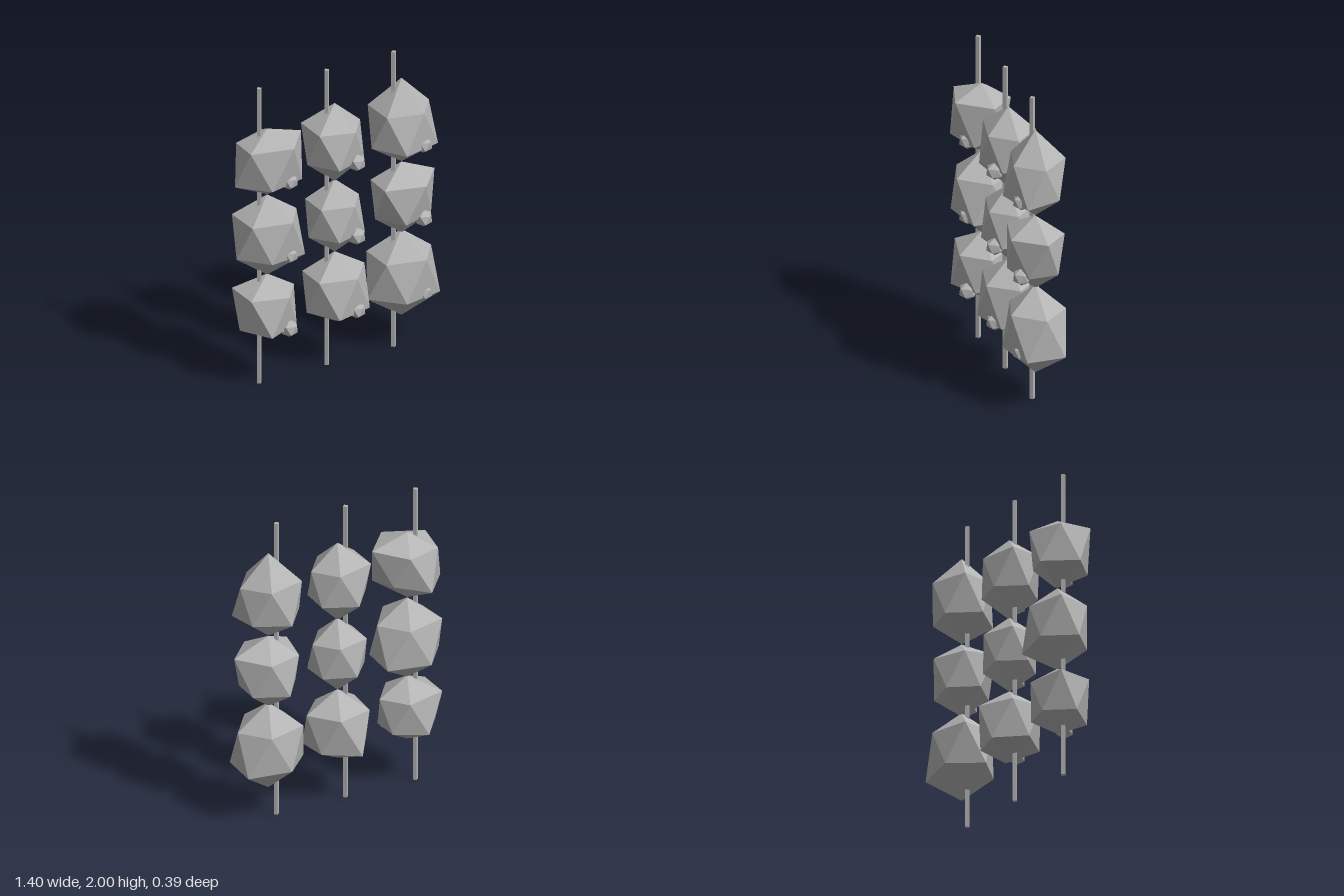
import * as THREE from 'three';

const stone = new THREE.MeshStandardMaterial({ color: 0xb4b4b4, flatShading: true });
stone.name = 'pale grey stone';

// Icosahedral stone with poles on y; radii run top, upper ring, lower ring, bottom
function stoneGeometry(radii, sy, sz) {
  const points = radii.map((r, i) => {
    if (i === 0 || i === 11) return [0, (i ? -r : r) * sy, 0];
    const upper = i < 6;
    const a = THREE.MathUtils.degToRad(72 * ((i - 1) % 5) + (upper ? 0 : 36));
    const ring = r * 0.894;
    return [ring * Math.cos(a), r * (upper ? 0.447 : -0.447) * sy, ring * Math.sin(a) * sz];
  });
  const positions = [];
  const face = (...ids) => ids.forEach((id) => positions.push(...points[id]));
  for (let i = 0; i < 5; i++) {
    const j = (i + 1) % 5;
    face(0, 1 + j, 1 + i);
    face(1 + i, 1 + j, 6 + i);
    face(6 + i, 1 + j, 6 + j);
    face(11, 6 + i, 6 + j);
  }
  const geometry = new THREE.BufferGeometry();
  geometry.setAttribute('position', new THREE.Float32BufferAttribute(positions, 3));
  geometry.computeVertexNormals();
  return geometry;
}

// Irregular radii in hundredths, each row from the bottom of its strand to the top
const strands = [
  { x: -0.475, stones: [
    [19.8, 21, 22.5, 24, 25, 22, 21, 24, 21.5, 23, 20, 18],
    [23, 23, 25.5, 22.5, 25, 23, 27, 24, 24, 25.5, 27, 24.4],
    [18.4, 26.7, 27, 25, 22, 23, 25, 24.5, 25.2, 26, 18.5, 20.3]] },
  { x: 0, stones: [
    [22, 23.5, 23, 23.5, 23, 25, 25, 24.5, 22, 26.5, 22, 19],
    [21.2, 19, 20, 20.5, 21, 21, 21.5, 21.5, 20.6, 21, 20, 21.7],
    [22.6, 20, 21, 23, 24, 21.5, 21, 23, 21.5, 23, 21, 23.5]] },
  { x: 0.47, stones: [
    [24.4, 23.3, 25, 23, 25, 24, 27.5, 26, 26.8, 25, 27.5, 26.4],
    [20.7, 26, 25, 25.5, 22, 23, 21, 22, 20.7, 23, 21, 21.2],
    [26.7, 21.5, 22.5, 22, 24, 23.7, 26, 25.5, 23.5, 25, 22, 22.6]] },
];

export function createModel() {
  const model = new THREE.Group();
  model.name = 'stoneStrands';
  const add = (parent, name, geometry, x, y, z) => {
    const mesh = new THREE.Mesh(geometry, stone);
    mesh.name = name;
    mesh.position.set(x, y, z);
    parent.add(mesh);
  };
  const rodGeometry = new THREE.CylinderGeometry(0.017, 0.017, 2, 4);
  const pebbleGeometry = stoneGeometry(Array(12).fill(0.057), 1, 1);

  for (const { x, stones } of strands) {
    const strand = new THREE.Group();
    strand.name = 'strand';
    strand.position.x = x;
    // Slim square rod running the full height
    add(strand, 'rod', rodGeometry, -0.055, 1, 0);
    stones.forEach((radii, row) => {
      const y = 0.5 + row * 0.5;
      add(strand, 'stone', stoneGeometry(radii.map((r) => r / 100), 1.15, 0.85), 0, y, 0);
      // Small pebble on the lower front
      add(strand, 'pebble', pebbleGeometry, 0.085, y - 0.115, 0.12);
    });
    model.add(strand);
  }
  return model;
}
